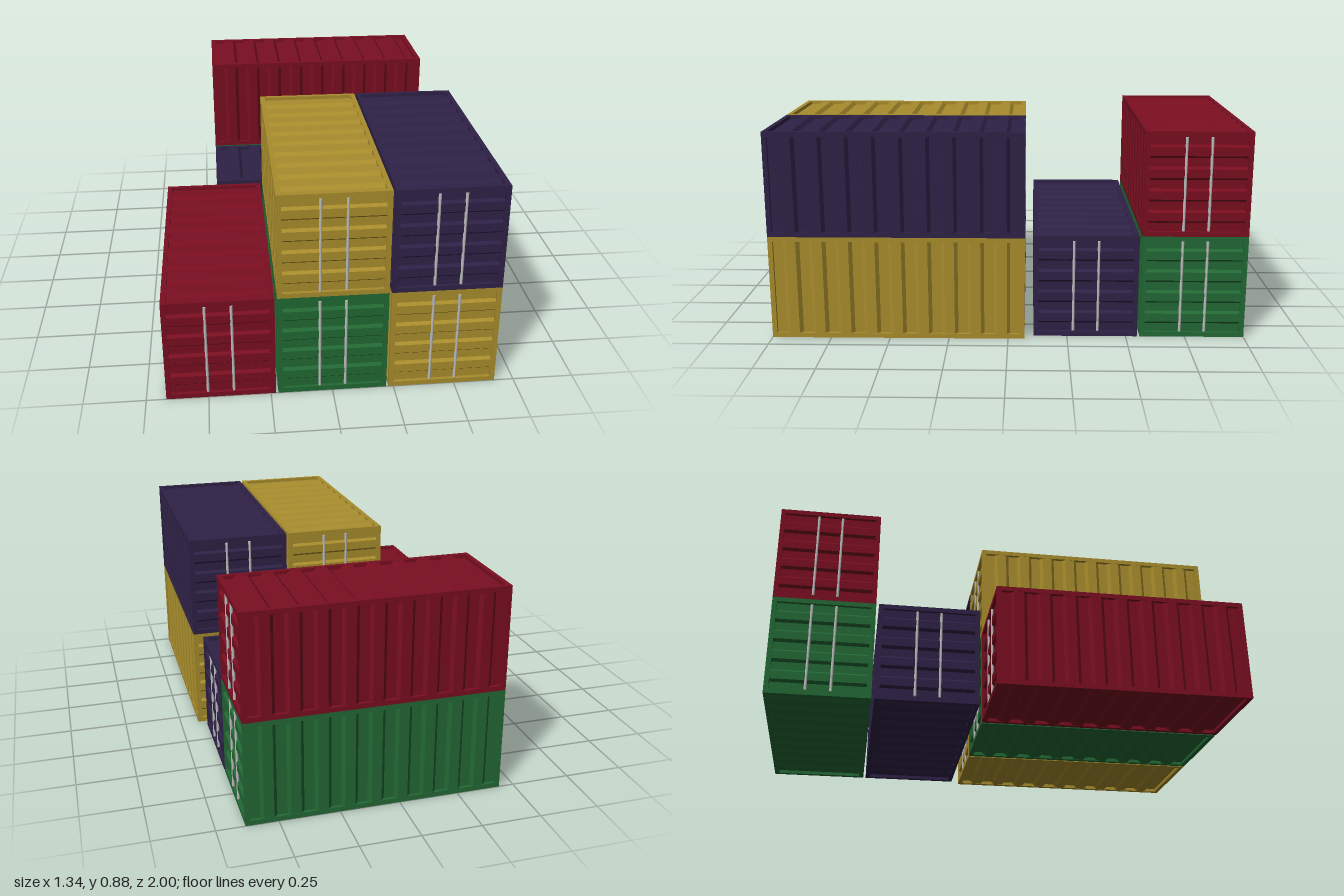
import * as THREE from 'three';

const W = 0.44, H = 0.442, L = 1.07; // container width, height, length
const T = 0.02;                      // frame thickness
const DEPTH = 0.015;                 // corrugation depth

function material(name, color) {
  const m = new THREE.MeshStandardMaterial({ color });
  m.name = name;
  return m;
}

// Corrugated sheet: waves run along x, ribs stand along y, outside faces +z at z = 0
function corrugated(length, across, grooves, slope, top) {
  const flat = (length - 2 * (grooves - 1) * slope) / (2 * grooves - 1);
  const low = -DEPTH;
  const s = new THREE.Shape();
  let x = -length / 2;
  s.moveTo(x, -T);
  s.lineTo(length / 2, -T);
  // walk back along the outer profile
  x = length / 2;
  s.lineTo(x, low);
  for (let i = 0; i < grooves; i++) {
    x -= flat;
    s.lineTo(x, low);
    if (i === grooves - 1) break;
    x -= slope;
    s.lineTo(x, top);
    x -= flat;
    s.lineTo(x, top);
    x -= slope;
    s.lineTo(x, low);
  }
  const g = new THREE.ExtrudeGeometry(s, { depth: across, bevelEnabled: false });
  g.translate(0, 0, -across / 2);
  g.rotateX(Math.PI / 2);
  return g;
}

export function createModel() {
  const model = new THREE.Group();
  model.name = 'containerStack';

  const red = material('dark red paint', 0x790e20);
  const yellow = material('ochre paint', 0xa88c2c);
  const green = material('green paint', 0x226834);
  const navy = material('navy paint', 0x2e2146);
  const steel = material('steel', 0xbcbcbc);

  // Shared geometries
  const sideGeo = corrugated(L - 2 * T, H - 2 * T, 10, 0.014, -0.001);
  sideGeo.rotateY(Math.PI / 2); // faces +x, waves along z
  const roofGeo = corrugated(L - 2 * T, W - 2 * T, 10, 0.014, -0.001);
  roofGeo.rotateY(Math.PI / 2);
  roofGeo.rotateZ(Math.PI / 2); // faces +y
  const doorGeo = corrugated(H - 2 * T, W - 2 * T, 5, 0.01, -0.003);
  doorGeo.rotateZ(Math.PI / 2); // faces +z, horizontal ribs
  const longRail = new THREE.BoxGeometry(T, T, L);
  const post = new THREE.BoxGeometry(T, H - 2 * T, T);
  const endRail = new THREE.BoxGeometry(W - 2 * T, T, T);
  const rodGeo = new THREE.CylinderGeometry(0.006, 0.006, 0.395, 10);

  function container(paint) {
    const g = new THREE.Group();
    const add = (name, geo, mat, x, y, z, parent = g) => {
      const m = new THREE.Mesh(geo, mat);
      m.name = name;
      m.position.set(x, y, z);
      parent.add(m);
      return m;
    };
    const fx = W / 2 - T / 2, fy = H / 2 - T / 2, fz = L / 2 - T / 2;

    // Frame
    for (const a of [-1, 1]) {
      for (const b of [-1, 1]) {
        add('longRail', longRail, paint, a * fx, b * fy, 0);
        add('cornerPost', post, paint, a * fx, 0, b * fz);
        add('endRail', endRail, paint, 0, a * fy, b * fz);
      }
    }

    // Corrugated walls, roof and floor
    add('leftWall', sideGeo, paint, W / 2, 0, 0);
    add('rightWall', sideGeo, paint, -W / 2, 0, 0).rotation.y = Math.PI;
    add('roof', roofGeo, paint, 0, H / 2, 0);
    add('floor', roofGeo, paint, 0, -H / 2, 0).rotation.z = Math.PI;

    // Doors with locking rods at both ends
    for (const turn of [0, Math.PI]) {
      const end = new THREE.Group();
      end.name = turn ? 'backDoors' : 'frontDoors';
      end.rotation.y = turn;
      g.add(end);
      add('doorPanel', doorGeo, paint, 0, 0, L / 2, end);
      for (const x of [-0.052, 0.052]) add('lockingRod', rodGeo, steel, x, 0, L / 2 - 0.006, end);
    }
    return g;
  }

  // name, paint, x, z, level, turned sideways
  const layout = [
    ['frontRightLower', red, -0.45, 0.465, 0, false],
    ['frontMiddleLower', green, 0, 0.465, 0, false],
    ['frontMiddleUpper', yellow, 0, 0.465, 1, false],
    ['frontLeftLower', yellow, 0.45, 0.465, 0, false],
    ['frontLeftUpper', navy, 0.45, 0.465, 1, false],
    ['backInner', navy, 0.098, -0.328, 0, true],
    ['backOuterLower', green, 0.098, -0.78, 0, true],
    ['backOuterUpper', red, 0.098, -0.78, 1, true],
  ];
  for (const [name, paint, x, z, level, sideways] of layout) {
    const c = container(paint);
    c.name = name + 'Container';
    c.position.set(x, H / 2 + level * H, z);
    if (sideways) c.rotation.y = Math.PI / 2;
    model.add(c);
  }
  return model;
}
